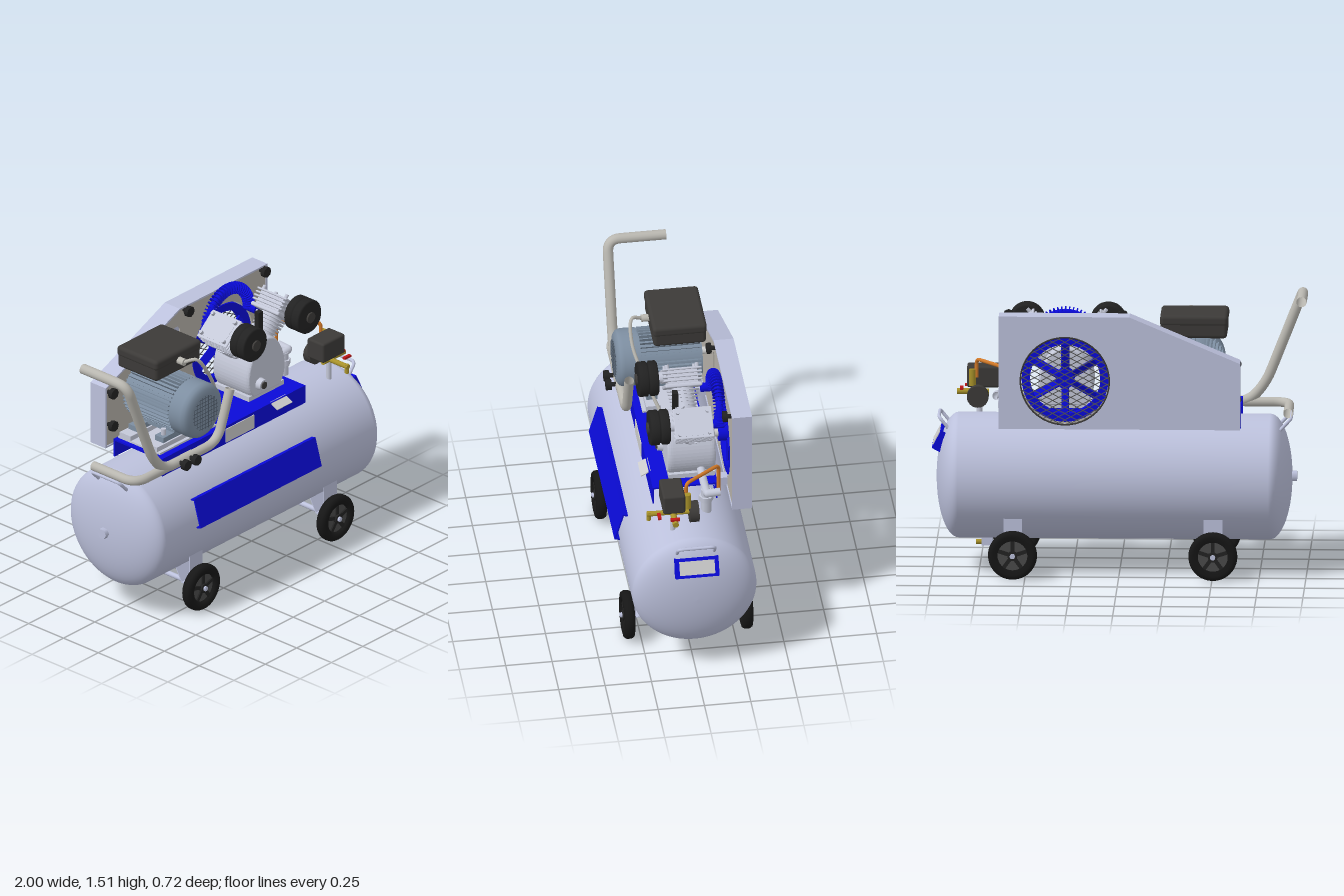
import * as THREE from 'three';
import { RoundedBoxGeometry } from 'three/addons/geometries/RoundedBoxGeometry.js';

const LILAC = 0xbcc1dc, BLUE = 0x0a0ad8, BLACK = 0x222222, DARK = 0x3c3a38, STEEL = 0x7d8ea1,
  PIPE = 0xb9b7b0, PANEL = 0xb4b0a8, BRASS = 0xa8922a, COPPER = 0xd07828, PUMP = 0xc4c8d8;
const mats = {};
const mat = (c) => (mats[c] ??= new THREE.MeshStandardMaterial({ color: c, side: THREE.DoubleSide }));
const V = (p) => new THREE.Vector3(...p);

function add(parent, name, geo, color, pos = [0, 0, 0], rot = [0, 0, 0]) {
  const m = new THREE.Mesh(geo, mat(color));
  m.name = name;
  m.position.set(...pos);
  m.rotation.set(...rot);
  parent.add(m);
  return m;
}
function group(parent, name, pos = [0, 0, 0]) {
  const g = new THREE.Group();
  g.name = name;
  g.position.set(...pos);
  parent.add(g);
  return g;
}
const box = (w, h, d) => new THREE.BoxGeometry(w, h, d);
const cylY = (r, h, r2 = r, n = 32) => new THREE.CylinderGeometry(r2, r, h, n);
const cylZ = (r, h, r2 = r, n = 32) => cylY(r, h, r2, n).rotateX(Math.PI / 2);
const cylX = (r, h, r2 = r, n = 32) => cylY(r, h, r2, n).rotateZ(-Math.PI / 2);
const extrude = (s, depth) => new THREE.ExtrudeGeometry(s, { depth, bevelEnabled: false, curveSegments: 32 });
const lathe = (pts, n = 48) => new THREE.LatheGeometry(pts.map((p) => new THREE.Vector2(...p)), n);
const poly = (pts) => new THREE.Shape(pts.map((p) => new THREE.Vector2(...p)));
const circle = (x, y, r) => new THREE.Path().absarc(x, y, r, 0, Math.PI * 2, true);

// Tube along straight runs with rounded bends of radius b
function pipe(pts, r, b = 0.05) {
  const v = pts.map(V), path = new THREE.CurvePath();
  let last = v[0];
  for (let i = 1; i < v.length - 1; i++) {
    const a = v[i].clone().add(v[i - 1].clone().sub(v[i]).setLength(b));
    const c = v[i].clone().add(v[i + 1].clone().sub(v[i]).setLength(b));
    path.add(new THREE.LineCurve3(last, a));
    path.add(new THREE.QuadraticBezierCurve3(a, v[i], c));
    last = c;
  }
  path.add(new THREE.LineCurve3(last, v[v.length - 1]));
  return new THREE.TubeGeometry(path, 90, r, 14);
}

function buildTank(root) {
  const g = group(root, 'tank'), R = 0.336, prof = [];
  for (let i = 0; i <= 14; i++) {
    const t = (i / 14) * Math.PI / 2;
    prof.push([R * Math.sin(t), -0.8 - 0.12 * Math.cos(t)]);
  }
  for (let i = 14; i >= 0; i--) {
    const t = (i / 14) * Math.PI / 2;
    prof.push([R * Math.sin(t), 0.86 + 0.12 * Math.cos(t)]);
  }
  add(g, 'tankShell', lathe(prof, 72), LILAC, [0, 0.505, 0], [0, 0, -Math.PI / 2]);
  add(g, 'endBoss', cylX(0.03, 0.04, 0.03, 6), LILAC, [-0.925, 0.51, 0]);
  add(g, 'drainSocket', box(0.06, 0.06, 0.07), LILAC, [0.71, 0.155, 0]);
  add(g, 'drainValve', cylX(0.014, 0.08), BRASS, [0.73, 0.14, 0]);
  // Bent-rod grab handles at both ends
  for (const [x0, x1] of [[-0.84, -0.915], [0.9, 0.965]])
    add(g, 'grabHandle', pipe([[x0, 0.76, -0.1], [x1, 0.84, -0.1], [x1, 0.84, 0.1], [x0, 0.76, 0.1]], 0.009, 0.03), LILAC);
  // Front panel leaning against the shell
  const p = group(g, 'frontPanel', [-0.077, 0.6, 0.338]);
  p.rotation.x = -0.28;
  add(p, 'panelFace', box(0.965, 0.165, 0.008), BLUE);
  for (const y of [-0.079, 0.079]) add(p, 'panelLip', box(0.965, 0.008, 0.03), BLUE, [0, y, -0.012]);
  // End plate with framed insert
  const e = group(g, 'endPlate', [0.972, 0.718, 0]);
  e.rotation.z = 0.48;
  add(e, 'endPlateBack', box(0.012, 0.108, 0.235), BLUE);
  add(e, 'endPlateInsert', box(0.006, 0.075, 0.19), 0xcccccc, [0.008, 0, 0]);
  for (const s of [-1, 1]) add(e, 'endPlateSide', box(0.05, 0.108, 0.008), BLUE, [-0.02, 0, s * 0.114]);
}

function buildWheels(root) {
  const tyre = [[0.08, -0.022], [0.105, -0.03], [0.122, -0.026], [0.13, -0.014], [0.131, 0],
    [0.13, 0.014], [0.122, 0.026], [0.105, 0.03], [0.08, 0.022], [0.08, -0.022]];
  for (const x of [-0.505, 0.565]) {
    const a = group(root, 'axleSet', [x, 0.133, 0]);
    add(a, 'axle', cylZ(0.014, 0.71), LILAC);
    for (const s of [-1, 1]) {
      const w = group(a, 'wheel', [0, 0, s * 0.318]);
      add(w, 'tyre', lathe(tyre).rotateX(Math.PI / 2), 0x161616);
      add(w, 'wheelDisc', cylZ(0.082, 0.02), 0x4a4a4a);
      add(w, 'hub', cylZ(0.026, 0.056), BLACK);
      add(w, 'axleNut', cylZ(0.012, 0.08, 0.012, 6), LILAC);
      for (let i = 0; i < 5; i++) {
        const t = (i / 5) * Math.PI * 2 + Math.PI / 2;
        add(w, 'spoke', box(0.065, 0.02, 0.038), BLACK, [0.05 * Math.cos(t), 0.05 * Math.sin(t), 0], [0, 0, t]);
      }
      // Bent sheet leg: outer web, foot, inner brace
      add(a, 'legWeb', box(0.1, 0.2, 0.006), LILAC, [0, 0.1, s * 0.28]);
      add(a, 'legFoot', box(0.1, 0.006, 0.06), LILAC, [0, 0.013, s * 0.25]);
      add(a, 'legBrace', box(0.1, 0.1, 0.006), LILAC, [0, 0.055, s * 0.2], [-s * 0.5, 0, 0]);
    }
  }
}

function buildBase(root) {
  const g = group(root, 'basePlate');
  add(g, 'deck', box(1.14, 0.01, 0.35), BLUE, [-0.08, 0.902, -0.005]);
  for (const z of [-0.176, 0.166]) add(g, 'deckFlange', box(1.14, 0.105, 0.008), BLUE, [-0.08, 0.855, z]);
  add(g, 'flangeLabel', box(0.225, 0.08, 0.006), 0xcccccc, [-0.035, 0.852, 0.172]);
  add(g, 'deckTab', box(0.12, 0.006, 0.06), 0xcccccc, [0.28, 0.892, 0.185], [0.5, 0, 0]);
  add(g, 'cableGrommet', cylY(0.04, 0.02), DARK, [-0.06, 0.915, 0.02]);
}

function buildHandle(root) {
  const g = group(root, 'pushHandle');
  add(g, 'upperHandle', pipe([[-0.972, 1.48, -0.11], [-0.972, 1.48, 0.205], [-0.775, 0.98, 0.205],
    [-0.68, 0.87, 0.205], [-0.45, 0.87, 0.205]], 0.028, 0.07), PIPE);
  add(g, 'lowerHandle', pipe([[-0.9, 0.87, -0.1], [-0.9, 0.87, 0.205], [-0.25, 0.87, 0.205],
    [-0.15, 1.15, 0.205]], 0.026, 0.09), PIPE);
  for (const x of [-0.57, -0.49]) {
    add(g, 'clampKnob', cylZ(0.03, 0.03, 0.03, 8), BLACK, [x, 0.875, 0.268]);
    add(g, 'clampStem', cylZ(0.012, 0.09), BLACK, [x, 0.875, 0.23]);
  }
}

function buildMotor(root) {
  const g = group(root, 'motor', [-0.4, 1.12, 0]);
  add(g, 'motorBody', cylZ(0.135, 0.34), STEEL, [0, 0, -0.04]);
  for (let i = 0; i < 40; i++) {
    const t = (i / 40) * Math.PI * 2;
    add(g, 'coolingFin', box(0.025, 0.006, 0.32), STEEL, [0.143 * Math.cos(t), 0.143 * Math.sin(t), -0.04], [0, 0, t]);
  }
  add(g, 'fanShroud', lathe([[0.156, 0.13], [0.156, 0.21], [0.15, 0.232], [0.13, 0.247], [0.1, 0.252], [0, 0.252]]).rotateX(Math.PI / 2), STEEL);
  for (let i = -4; i <= 4; i++) {
    const l = 2 * Math.sqrt(0.1 ** 2 - (i * 0.022) ** 2);
    add(g, 'ventBar', box(l, 0.005, 0.006), 0x566372, [0, i * 0.022, 0.253]);
    add(g, 'ventBar', box(0.005, l, 0.006), 0x566372, [i * 0.022, 0, 0.253]);
  }
  add(g, 'motorShaft', cylZ(0.02, 0.12), 0xcccccc, [0, 0, -0.25]);
  add(g, 'motorPulley', cylZ(0.06, 0.045), BLUE, [0, 0, -0.285]);
  add(g, 'motorFoot', box(0.16, 0.13, 0.26), STEEL, [0, -0.09, -0.03]);
  add(g, 'terminalBox', new RoundedBoxGeometry(0.355, 0.1, 0.285, 3, 0.02), DARK, [0, 0.23, -0.08]);
  add(g, 'terminalLid', new RoundedBoxGeometry(0.362, 0.06, 0.292, 3, 0.02), DARK, [0, 0.275, -0.08]);
  add(g, 'cableGland', cylZ(0.02, 0.05), PIPE, [0, 0.25, 0.08]);
  for (const z of [-0.12, 0.07]) {
    add(g, 'slideRail', box(0.45, 0.04, 0.08), PUMP, [0, -0.195, z]);
    add(g, 'footBar', box(0.33, 0.03, 0.06), STEEL, [0, -0.16, z]);
    for (const x of [-0.13, 0.13]) add(g, 'footBolt', cylY(0.015, 0.05, 0.015, 6), PUMP, [x, -0.135, z]);
  }
  add(g, 'slidePlate', box(0.45, 0.012, 0.3), PUMP, [0, -0.208, -0.02]);
  const cable = new THREE.CatmullRomCurve3([[0, 0.25, 0.1], [0.03, 0.275, 0.16], [0.11, 0.17, 0.17], [0.22, 0.02, 0.12],
    [0.31, -0.11, 0.06], [0.36, -0.2, 0.02]].map(V));
  add(g, 'cable', new THREE.TubeGeometry(cable, 40, 0.01, 8), PIPE);
}

function buildPump(root) {
  const g = group(root, 'pump', [0.285, 1.06, 0]);
  // Crankcase: pear-shaped body with a raised front cover
  const pear = new THREE.Shape();
  pear.moveTo(-0.1, -0.13);
  pear.bezierCurveTo(-0.17, -0.06, -0.13, 0.08, -0.07, 0.14);
  pear.quadraticCurveTo(0, 0.2, 0.07, 0.14);
  pear.bezierCurveTo(0.13, 0.08, 0.17, -0.06, 0.1, -0.13);
  const body = new THREE.ExtrudeGeometry(pear, { depth: 0.2, bevelSize: 0.012, bevelThickness: 0.03, bevelSegments: 4, curveSegments: 16 });
  add(g, 'crankcase', body, PUMP, [0, 0, -0.15]);
  add(g, 'pumpFoot', box(0.28, 0.03, 0.25), PUMP, [0, -0.14, -0.05]);
  add(g, 'sightGlass', cylZ(0.036, 0.04, 0.03), PUMP, [-0.06, -0.07, 0.09]);
  add(g, 'sightGlassLens', cylZ(0.02, 0.01), DARK, [-0.06, -0.07, 0.112]);
  add(g, 'breather', box(0.035, 0.12, 0.03), BLACK, [0, 0.26, 0.02]);
  add(g, 'breatherNeck', cylY(0.03, 0.08), PUMP, [0, 0.19, 0.0]);
  // Two finned cylinders in a V
  for (const s of [-1, 1]) {
    const c = group(g, 'cylinder', [0, 0, -0.045]);
    c.rotation.z = -s * 0.7;
    add(c, 'barrel', cylY(0.058, 0.2), PUMP, [0, 0.2, 0]);
    for (let i = 0; i < 6; i++) add(c, 'barrelFin', cylY(0.068 + i * 0.004, 0.008), PUMP, [0, 0.165 + i * 0.019, 0]);
    add(c, 'valvePlate', new RoundedBoxGeometry(0.17, 0.022, 0.2, 2, 0.008), PUMP, [0, 0.285, 0]);
    add(c, 'headCore', box(0.14, 0.09, 0.16), PUMP, [0, 0.335, 0]);
    for (let i = 0; i < 4; i++) add(c, 'headFin', new RoundedBoxGeometry(0.17, 0.011, 0.21, 2, 0.005), PUMP, [0, 0.313 + i * 0.02, 0]);
    for (const x of [-0.06, 0.06]) for (const z of [-0.08, 0.08])
      add(c, 'headBolt', cylY(0.011, 0.03, 0.011, 6), PUMP, [x, 0.385, z]);
    // Intake filter on the front of each head
    const f = group(g, 'intakeFilter', [s * 0.217, 0.26, 0]);
    add(f, 'filterNeck', cylZ(0.03, 0.06), PUMP, [0, 0, 0.07]);
    add(f, 'filterCan', lathe([[0, 0.085], [0.085, 0.085], [0.095, 0.093], [0.095, 0.128], [0.086, 0.132], [0.086, 0.14],
      [0.095, 0.144], [0.095, 0.185], [0.088, 0.194], [0, 0.194]]).rotateX(Math.PI / 2), BLACK);
    add(f, 'filterCap', cylZ(0.03, 0.012), DARK, [0, 0, 0.198]);
    add(g, 'headElbow', cylZ(0.025, 0.08), BLUE, [s * 0.165, 0.21, -0.18]);
  }
  // Ribbed tube joining the heads
  const loop = group(g, 'intercooler', [0, 0.21, -0.2]);
  add(loop, 'intercoolerTube', new THREE.TorusGeometry(0.165, 0.02, 10, 40, Math.PI), BLUE);
  for (let i = 0; i <= 28; i++) {
    const t = (i / 28) * Math.PI;
    add(loop, 'intercoolerRib', cylY(0.034, 0.006, 0.034, 16), BLUE, [0.165 * Math.cos(t), 0.165 * Math.sin(t), 0], [0, 0, t]);
  }
  // Flywheel fan
  const w = group(g, 'flywheel', [0, 0.03, -0.27]);
  const rim = new THREE.Shape().absarc(0, 0, 0.232, 0, Math.PI * 2);
  rim.holes.push(circle(0, 0, 0.188));
  add(w, 'flywheelRim', extrude(rim, 0.05), BLUE, [0, 0, -0.025]);
  add(w, 'flywheelHub', cylZ(0.05, 0.09), BLUE, [0, 0, 0.015]);
  add(w, 'crankshaft', cylZ(0.025, 0.16), 0xcccccc, [0, 0, 0.06]);
  for (let i = 0; i < 6; i++) {
    const spoke = group(w, 'fanBlade');
    spoke.rotation.z = (i / 6) * Math.PI * 2 + Math.PI / 6;
    add(spoke, 'blade', box(0.16, 0.045, 0.01), BLUE, [0.115, 0, 0], [0.6, 0, 0]);
  }
}

function buildGuard(root) {
  const g = group(root, 'beltGuard'), cx = 0.285, cy = 1.09;
  const outline = (d) => [[-0.65 + d, 0.828 + d], [0.638 - d, 0.828 + d], [0.638 - d, 1.44 - d], [-0.06 + d * 0.2, 1.44 - d], [-0.65 + d, 1.19 - d * 0.7]];
  const wall = poly(outline(0));
  wall.holes.push(new THREE.Path(poly(outline(0.01)).getPoints()));
  add(g, 'guardWall', extrude(wall, 0.108), LILAC, [0, 0, -0.345]);
  const back = poly(outline(0.004));
  back.holes.push(circle(cx, cy, 0.238));
  add(g, 'guardBack', extrude(back, 0.008), LILAC, [0, 0, -0.345]);
  const front = poly(outline(0.006));
  front.holes.push(circle(cx, cy, 0.24));
  const slot = new THREE.Path();
  slot.absarc(-0.083, 1.305, 0.032, 0, Math.PI, false);
  slot.absarc(-0.083, 1.22, 0.032, Math.PI, Math.PI * 2, false);
  front.holes.push(slot);
  add(g, 'guardFront', extrude(front, 0.008), PANEL, [0, 0, -0.25]);
  // Diamond wire mesh over the rear opening
  const mesh = group(g, 'guardMesh', [cx, cy, -0.343]);
  add(mesh, 'meshRing', new THREE.TorusGeometry(0.238, 0.005, 6, 48), DARK);
  for (const a of [0.5, -0.5]) for (let i = -7; i <= 7; i++) {
    const d = i * 0.031, l = 2 * Math.sqrt(0.238 ** 2 - d * d);
    add(mesh, 'meshWire', box(l, 0.004, 0.004), 0x555555, [-d * Math.sin(a), d * Math.cos(a), 0], [0, 0, a]);
  }
  for (const [x, y] of [[-0.02, 1.42], [0.59, 1.42], [-0.625, 1.16], [-0.625, 0.965]]) {
    add(g, 'guardKnob', cylZ(0.03, 0.025, 0.03, 8), BLACK, [x, y, -0.205]);
    add(g, 'guardStud', cylZ(0.012, 0.04), BLACK, [x, y, -0.23]);
  }
  for (const x of [-0.4, 0.4]) add(g, 'guardBracket', box(0.05, 0.05, 0.08), LILAC, [x, 0.86, -0.21]);
}

function buildControls(root) {
  const g = group(root, 'controls');
  add(g, 'pressureSwitch', new RoundedBoxGeometry(0.175, 0.115, 0.12, 3, 0.012), DARK, [0.733, 1.028, 0.1]);
  add(g, 'supportPost', cylY(0.015, 0.18), PUMP, [0.755, 0.89, 0.1]);
  add(g, 'manifold', cylX(0.016, 0.17), BRASS, [0.79, 0.938, 0.1]);
  add(g, 'manifoldCross', cylZ(0.014, 0.2), BRASS, [0.755, 0.938, 0.14]);
  add(g, 'safetyValve', cylY(0.018, 0.09, 0.018, 8), BRASS, [0.79, 1.03, 0.025]);
  add(g, 'tapLever', box(0.05, 0.012, 0.018), 0xc01818, [0.81, 0.957, 0.18]);
  add(g, 'tapLever', box(0.018, 0.012, 0.05), 0xc01818, [0.85, 0.957, 0.1]);
  add(g, 'outletTap', cylY(0.012, 0.05), BRASS, [0.755, 0.925, 0.23]);
  add(g, 'gauge', cylZ(0.058, 0.05), DARK, [0.76, 0.935, -0.012]);
  add(g, 'gaugeStem', cylZ(0.012, 0.1), BRASS, [0.76, 0.935, 0.05]);
  add(g, 'checkValve', cylY(0.028, 0.15, 0.028, 8), PUMP, [0.615, 0.89, -0.1]);
  add(g, 'checkValveNut', cylY(0.04, 0.03, 0.04, 6), PUMP, [0.615, 0.91, -0.1]);
  add(g, 'dischargePipe', pipe([[0.38, 0.955, -0.1], [0.52, 0.945, -0.1], [0.655, 0.965, -0.1], [0.655, 0.97, -0.17]], 0.022, 0.003), PUMP);
  add(g, 'copperLine', pipe([[0.63, 0.96, -0.165], [0.63, 1.13, -0.165], [0.768, 1.13, 0.03], [0.768, 1.03, 0.03]], 0.01, 0.03), COPPER);
}

export function createModel() {
  const root = new THREE.Group();
  root.name = 'airCompressor';
  [buildTank, buildWheels, buildBase, buildHandle, buildMotor, buildPump, buildGuard, buildControls].forEach((f) => f(root));
  return root;
}
